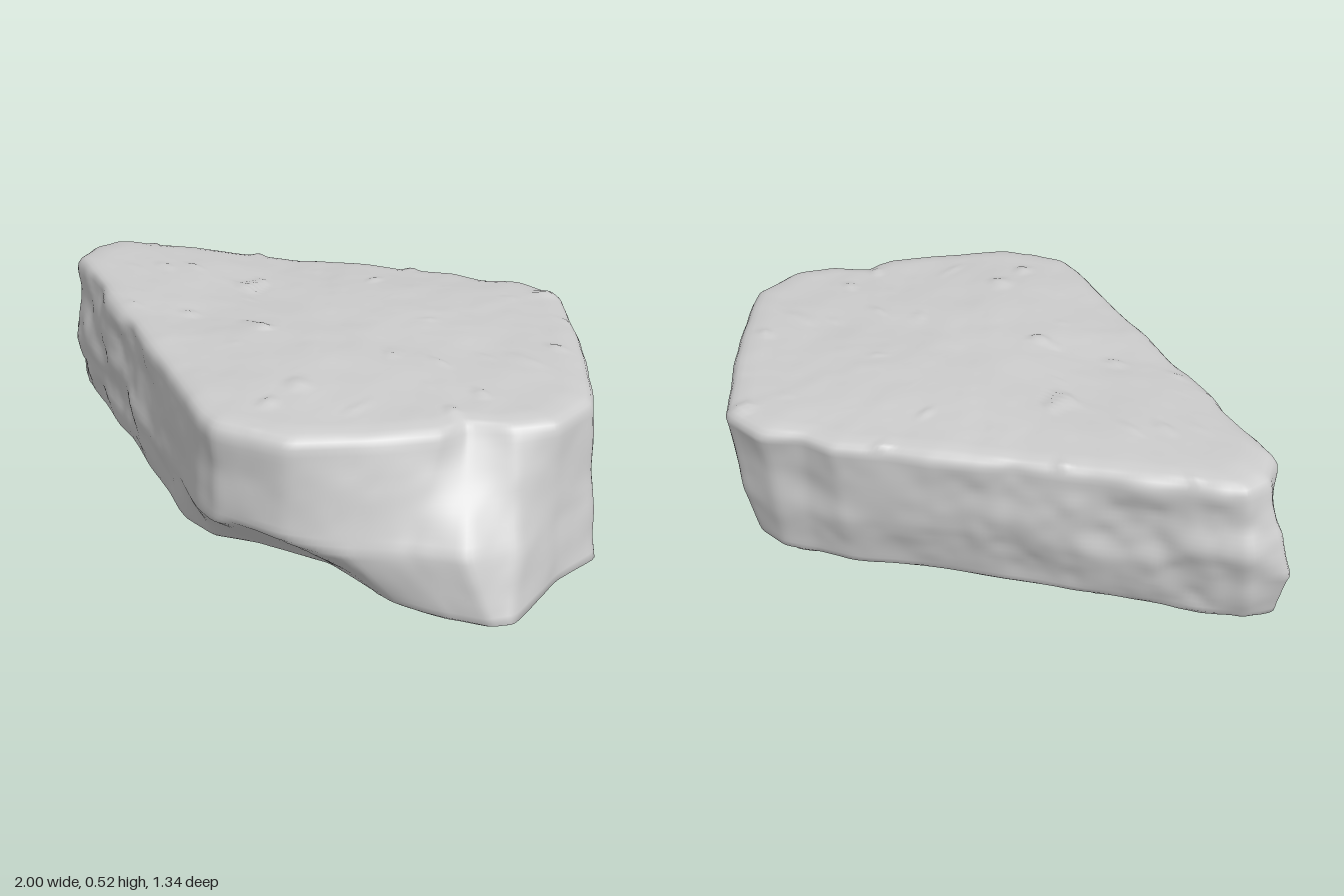
import * as THREE from 'three';

// Corners around the slab: x, z at the top, at the waist and at the foot
const corners = [
  [-0.9, 0.08, -1.0, 0.08, -0.95, 0.1], [-0.88, 0, -0.92, -0.01, -0.91, 0.03],
  [-0.6, -0.16, -0.6, -0.15, -0.6, -0.12], [-0.42, -0.26, -0.43, -0.25, -0.42, -0.21],
  [0, -0.5, 0, -0.47, 0, -0.43], [0.12, -0.58, 0.12, -0.55, 0.13, -0.51],
  [0.22, -0.6, 0.24, -0.58, 0.24, -0.55], [0.32, -0.66, 0.32, -0.62, 0.33, -0.6],
  [0.47, -0.66, 0.46, -0.63, 0.44, -0.6], [0.74, -0.36, 0.74, -0.36, 0.72, -0.35],
  [0.92, -0.13, 0.95, -0.12, 0.99, -0.1], [0.92, 0.03, 0.94, 0.05, 0.97, 0.06],
  [0.85, 0.13, 0.95, 0.22, 0.99, 0.3], [0.75, 0.2, 0.88, 0.36, 0.96, 0.34],
  [0.73, 0.29, 0.75, 0.43, 0.86, 0.39], [0.61, 0.44, 0.61, 0.54, 0.7, 0.43],
  [0.47, 0.59, 0.47, 0.61, 0.46, 0.41], [0.27, 0.66, 0.27, 0.66, 0.24, 0.47],
  [0.19, 0.64, 0.18, 0.64, 0.12, 0.53], [0, 0.55, 0, 0.55, 0, 0.52],
  [-0.4, 0.37, -0.4, 0.38, -0.4, 0.35], [-0.86, 0.17, -0.88, 0.19, -0.86, 0.17],
];
const centre = [0.15, 0.02];
const { lerp, smoothstep } = THREE.MathUtils;

// Smooth seeded value noise in the range -1 to 1
function hash(x, y, z) {
  let h = Math.imul(x, 374761393) ^ Math.imul(y, 668265263) ^ Math.imul(z, 1274126177);
  h = Math.imul(h ^ (h >>> 13), 1103515245);
  return ((h ^ (h >>> 16)) >>> 0) / 2147483648 - 1;
}
function noise(x, y, z) {
  const [i, j, k] = [x, y, z].map(Math.floor);
  const [u, v, w] = [x - i, y - j, z - k].map((t) => t * t * (3 - 2 * t));
  const row = (b, c) => lerp(hash(i, b, c), hash(i + 1, b, c), u);
  return lerp(lerp(row(j, k), row(j + 1, k), v), lerp(row(j, k + 1), row(j + 1, k + 1), v), w);
}

// Subdivide the outline evenly, then soften its corners
function makeOutline() {
  const ring = [];
  corners.forEach((a, n) => {
    const b = corners[(n + 1) % corners.length];
    const steps = Math.ceil(Math.hypot(b[2] - a[2], b[3] - a[3]) / 0.016);
    for (let s = 0; s < steps; s++) ring.push(a.map((v, c) => lerp(v, b[c], s / steps)));
  });
  const n = ring.length;
  return ring.map((p, i) => p.map((v, c) =>
    v / 2 + (ring[(i + n - 1) % n][c] + ring[(i + 1) % n][c]) / 4));
}

// Levels from the middle of the underside, up the sides, to the middle of the top
function makeLevels() {
  const levels = [];
  for (let i = 0; i < 12; i++) levels.push([0.01, i / 12]);
  levels.push([0.01, 0.97], [0.014, 0.99]);
  for (let i = 0; i <= 24; i++) levels.push([lerp(0.025, 0.462, i / 24), 1]);
  levels.push([0.477, 0.993], [0.487, 0.978], [0.492, 0.955]);
  for (let i = 31; i >= 0; i--) {
    const s = (i / 32) * 0.95;
    levels.push([0.494 + 0.018 * (1 - s * s), s]);
  }
  return levels;
}

function slabGeometry() {
  const ring = makeOutline();
  const levels = makeLevels();
  const n = ring.length;
  const positions = [];
  const indices = [];
  levels.forEach(([y, s], row) => {
    for (let i = 0; i < n; i++) {
      const p = ring[i];
      // The waist wanders up and down around the stone
      const waist = 0.2 + 0.025 * noise(p[2] * 5, 2.5, p[3] * 5);
      const at = (c) => (y < waist
        ? lerp(p[4 + c], p[2 + c], Math.max(0, (y - 0.02) / (waist - 0.02)))
        : lerp(p[2 + c], p[c], Math.min(1, (y - waist) / (0.47 - waist))));
      const z = lerp(centre[1], at(1), s);
      // The top leans slightly down to the back
      const lean = 0.015 * z * smoothstep(y, 0.4, 0.5);
      positions.push(lerp(centre[0], at(0), s), y + lean, z);
      if (row === levels.length - 1) continue;
      const a = row * n + i;
      const b = row * n + ((i + 1) % n);
      indices.push(a, a + n, b, b, a + n, b + n);
    }
  });
  const geometry = new THREE.BufferGeometry();
  geometry.setAttribute('position', new THREE.Float32BufferAttribute(positions, 3));
  geometry.setIndex(indices);
  geometry.computeVertexNormals();
  roughen(geometry);
  geometry.computeVertexNormals();
  return geometry;
}

// Weathered surface: broad dents, fine grain, and extra pitting towards the narrow end
function roughen(geometry) {
  const pos = geometry.attributes.position;
  const nor = geometry.attributes.normal;
  const p = new THREE.Vector3();
  const d = new THREE.Vector3();
  for (let i = 0; i < pos.count; i++) {
    p.fromBufferAttribute(pos, i);
    d.fromBufferAttribute(nor, i);
    const { x, y, z } = p;
    const side = 1 - Math.abs(d.y);
    const pitted = 1 - smoothstep(x, -0.7, 0.2);
    const broad = noise(x * 4 + 9, y * 6 + 3, z * 4 + 7);
    const fine = noise(x * 9 + 2, y * 11 + 5, z * 9 + 1);
    const grain = noise(x * 22 + 6, y * 22 + 2, z * 22 + 3);
    let amount = broad * lerp(0.006, 0.01, side) + fine * lerp(0.004, 0.006 + 0.01 * pitted, side)
      + grain * lerp(0.001, 0.001 + 0.003 * pitted, side) + 0.006 * side;
    // Small raised lumps scattered on the top
    if (d.y > 0.7) amount += 0.01 * smoothstep(noise(x * 16 + 4, 0.5, z * 16 + 8), 0.4, 0.9);
    if (d.y < -0.7) amount *= 0.5;
    p.addScaledVector(d, amount);
    // Chipped lower edge near the narrow end
    if (y < 0.1) p.y += 0.02 * pitted * side * Math.max(0, fine);
    pos.setXYZ(i, p.x, Math.max(0, p.y), p.z);
  }
}

export function createModel() {
  const group = new THREE.Group();
  group.name = 'rock';
  const slab = new THREE.Mesh(
    slabGeometry(),
    new THREE.MeshStandardMaterial({ color: 0xcccccc }),
  );
  slab.name = 'stoneSlab';
  group.add(slab);
  return group;
}
